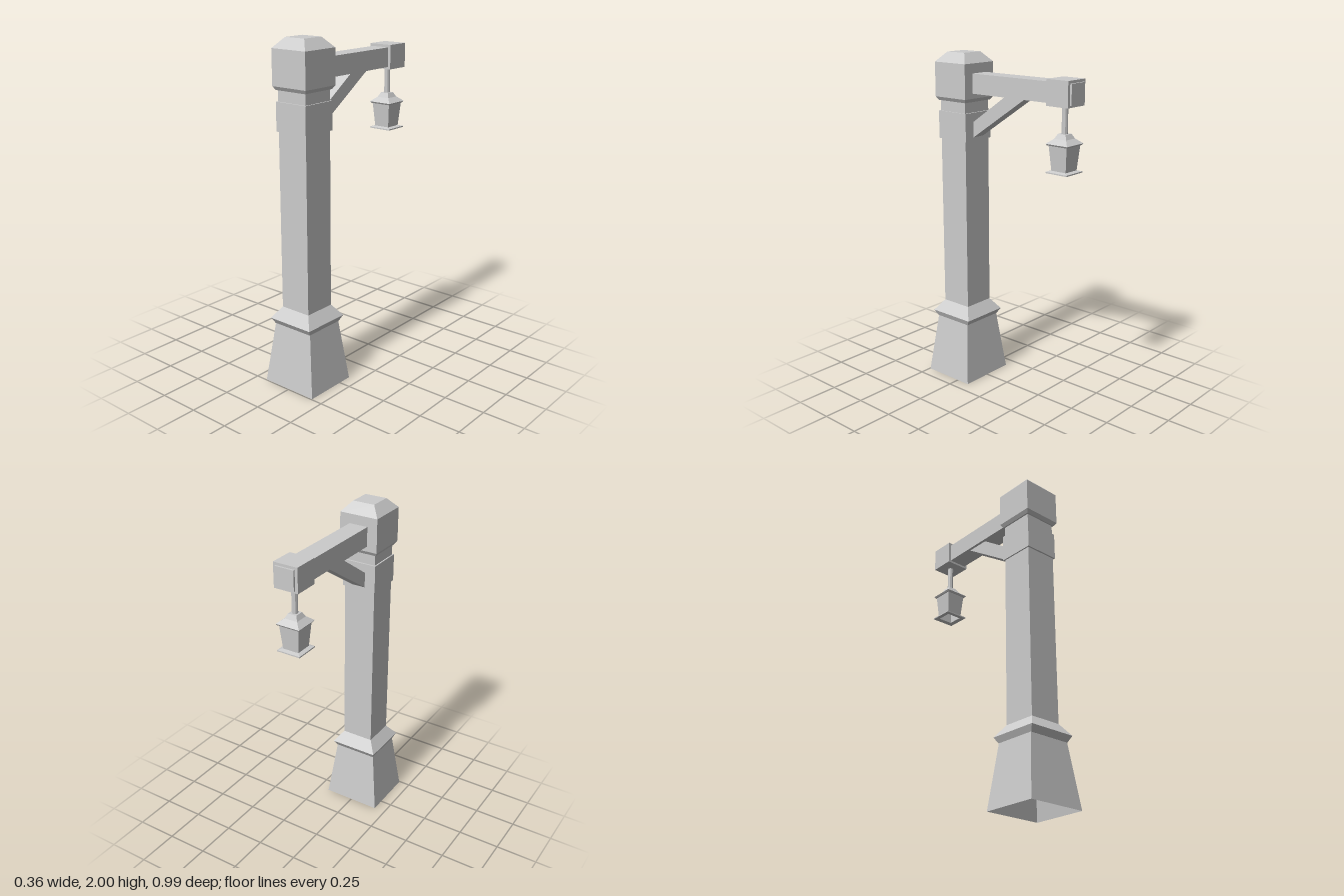
import * as THREE from 'three';

const material = new THREE.MeshStandardMaterial({ color: 0xcccccc, flatShading: true, side: THREE.DoubleSide });
const POST_Z = 0.33, LAMP_Z = -0.411;

function add(parent, name, geometry, x = 0, y = 0, z = 0) {
  const mesh = new THREE.Mesh(geometry, material);
  mesh.name = name;
  mesh.position.set(x, y, z);
  parent.add(mesh);
  return mesh;
}

// Box given by half width and its y and z ranges
function addBox(parent, name, hx, y0, y1, z0, z1) {
  return add(parent, name, new THREE.BoxGeometry(hx * 2, y1 - y0, z1 - z0), 0, (y0 + y1) / 2, (z0 + z1) / 2);
}

// Stacked rectangular sections, bottom to top: [y, halfX, halfZ = halfX]
function rectLoft(sections, capTop = false) {
  const rings = sections.map(([y, hx, hz = hx]) =>
    [[-hx, y, hz], [hx, y, hz], [hx, y, -hz], [-hx, y, -hz]]);
  const pos = [];
  const quad = (a, b, c, d) => pos.push(...a, ...b, ...c, ...a, ...c, ...d);
  for (let i = 0; i < rings.length - 1; i++) {
    for (let k = 0; k < 4; k++) {
      const n = (k + 1) % 4;
      quad(rings[i][k], rings[i][n], rings[i + 1][n], rings[i + 1][k]);
    }
  }
  if (capTop) quad(...rings[rings.length - 1]);
  const geometry = new THREE.BufferGeometry();
  geometry.setAttribute('position', new THREE.Float32BufferAttribute(pos, 3));
  geometry.computeVertexNormals();
  return geometry;
}

export function createModel() {
  const model = new THREE.Group();
  model.name = 'lampPost';

  // Post: hollow tapered foot, flared moulding, square shaft, band and cap
  const post = new THREE.Group();
  post.name = 'post';
  post.position.z = POST_Z;
  model.add(post);
  add(post, 'foot', rectLoft([[0, 0.179, 0.165], [0.367, 0.132, 0.123]]));
  add(post, 'footMoulding', rectLoft([[0.367, 0.098], [0.367, 0.132, 0.126], [0.402, 0.148], [0.47, 0.098]]));
  add(post, 'shaft', rectLoft([[0.46, 0.098], [1.76, 0.098]]));
  addBox(post, 'band', 0.106, 1.497, 1.66, -0.108, 0.108);
  add(post, 'cap', rectLoft([[1.722, 0.097], [1.722, 0.106], [1.743, 0.119], [1.943, 0.119], [2, 0.067]], true));

  // Horizontal arm with a sleeve near its tip
  addBox(model, 'arm', 0.057, 1.773, 1.887, -0.495, 0.25);
  addBox(model, 'armSleeve', 0.074, 1.76, 1.902, -0.484, -0.339);

  // Diagonal brace, drawn in (z, y) and extruded across x
  const profile = new THREE.Shape([
    [0.24, 1.505], [0.24, 1.595], [-0.02, 1.774], [-0.165, 1.774], [-0.128, 1.75],
  ].map(([z, y]) => new THREE.Vector2(-z, y)));
  const braceGeometry = new THREE.ExtrudeGeometry(profile, { depth: 0.08, bevelEnabled: false });
  braceGeometry.translate(0, 0, -0.04).rotateY(Math.PI / 2);
  add(model, 'brace', braceGeometry);

  // Hanging lantern, open underneath
  const lantern = new THREE.Group();
  lantern.name = 'lantern';
  lantern.position.z = LAMP_Z;
  model.add(lantern);
  add(lantern, 'hanger', new THREE.CylinderGeometry(0.017, 0.017, 0.17, 8), 0, 1.685, 0);
  add(lantern, 'lanternRoof', rectLoft([
    [1.547, 0.058], [1.547, 0.067], [1.556, 0.073], [1.583, 0.04], [1.609, 0.026],
  ], true));
  add(lantern, 'lanternBody', rectLoft([[1.4, 0.048], [1.55, 0.061]]));
  add(lantern, 'lanternRim', rectLoft([
    [1.395, 0.048], [1.395, 0.072], [1.402, 0.072], [1.408, 0.049],
  ]));
  return model;
}
